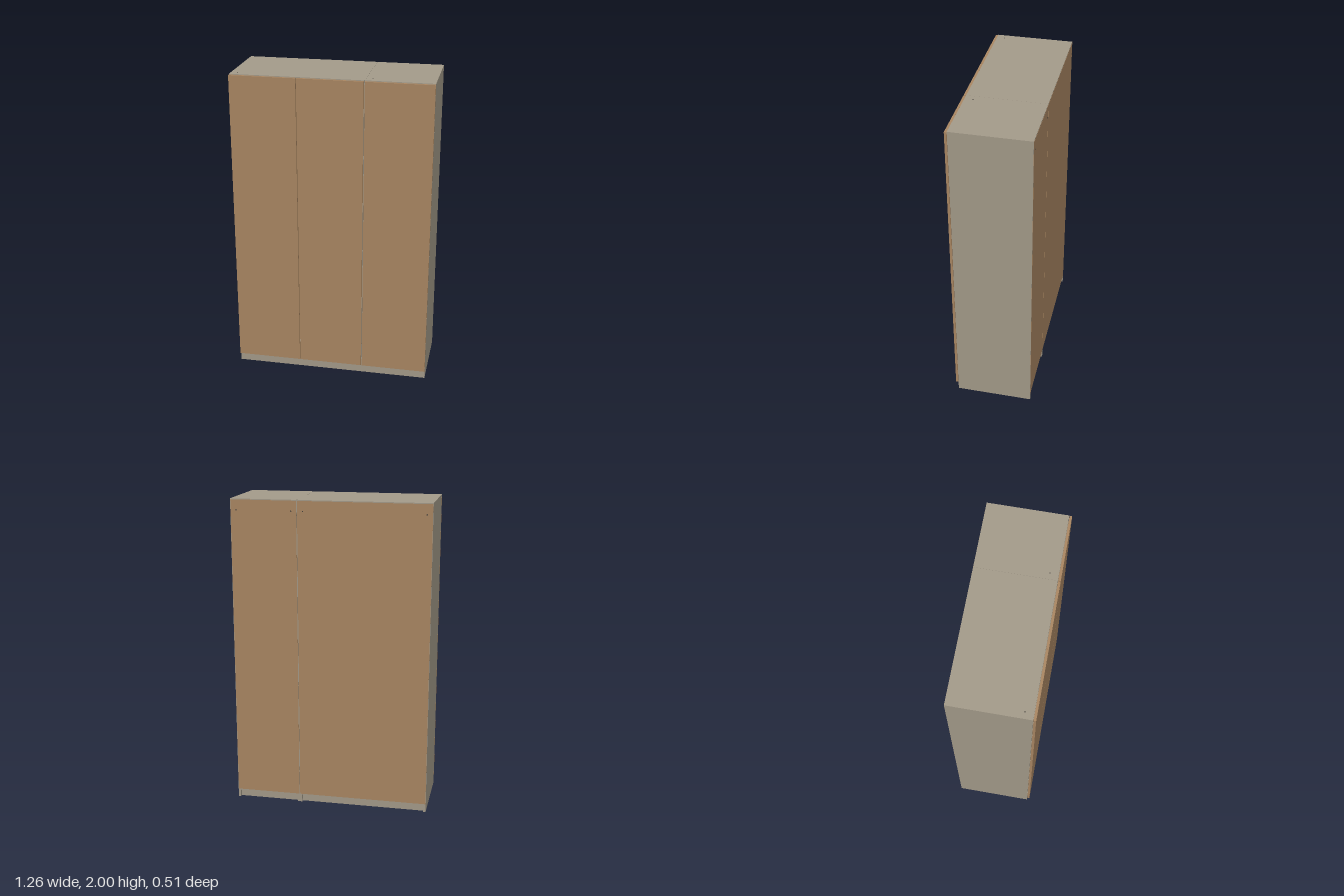
import * as THREE from 'three';

export function createModel() {
  const wood = new THREE.MeshStandardMaterial({ color: 0xa98662 });
  wood.name = 'brown wood';
  const grey = new THREE.MeshStandardMaterial({ color: 0xa39a89 });
  grey.name = 'warm grey board';
  const dark = new THREE.MeshStandardMaterial({ color: 0x45413b });
  dark.name = 'dark fitting';

  const model = new THREE.Group();
  model.name = 'wardrobe';

  // Board given by its minimum and maximum corners
  function board(parent, name, mat, x0, x1, y0, y1, z0, z1) {
    const m = new THREE.Mesh(new THREE.BoxGeometry(x1 - x0, y1 - y0, z1 - z0), mat);
    m.position.set((x0 + x1) / 2, (y0 + y1) / 2, (z0 + z1) / 2);
    m.name = name;
    parent.add(m);
  }

  // Small round fitting, upright unless turned to face the back
  function disc(parent, name, x, y, z, r, h, facingBack = false) {
    const m = new THREE.Mesh(new THREE.CylinderGeometry(r, r, h, 12), dark);
    m.position.set(x, y, z);
    if (facingBack) m.rotation.x = Math.PI / 2;
    m.name = name;
    parent.add(m);
  }

  const T = 0.015, BACK = -0.253, FRONT = 0.236, BASE = 0.055;

  // Two cabinets side by side: a wide one and a narrow one
  function cabinet(name, x0, x1) {
    const g = new THREE.Group();
    g.name = name;
    const a = x0 + T, b = x1 - T;
    board(g, 'sidePanel', grey, x0, a, 0, 2, BACK, FRONT);
    board(g, 'sidePanel', grey, b, x1, 0, 2, BACK, FRONT);
    board(g, 'topPanel', grey, a, b, 2 - T, 2, BACK, FRONT);
    board(g, 'bottomPanel', grey, a, b, BASE - 0.01, BASE + 0.005, BACK + 0.006, FRONT);
    board(g, 'frontPlinth', grey, a, b, 0, BASE - 0.01, FRONT - T, FRONT);
    board(g, 'rearPlinth', grey, a, b, 0, BASE - 0.01, BACK + 0.018, BACK + 0.018 + T);
    board(g, 'backPanel', wood, x0 + 0.002, x1 - 0.002, BASE, 1.994, BACK - 0.001, BACK + 0.004);
    for (const x of [a + 0.022, b - 0.022]) {
      disc(g, 'levellingFoot', x, 0.022, 0.2, 0.007, 0.044);
      disc(g, 'backFixing', x, 1.93, BACK - 0.001, 0.004, 0.002, true);
    }
    disc(g, 'topFixing', a + 0.025, 2, 0.185, 0.004, 0.001);
    model.add(g);
  }
  cabinet('wideCabinet', -0.632, 0.207);
  cabinet('narrowCabinet', 0.208, 0.632);

  // Three plain doors
  for (const [x0, x1] of [[-0.632, -0.213], [-0.209, 0.204], [0.211, 0.632]])
    board(model, 'door', wood, x0, x1, 0.057, 1.996, 0.238, 0.253);

  return model;
}
